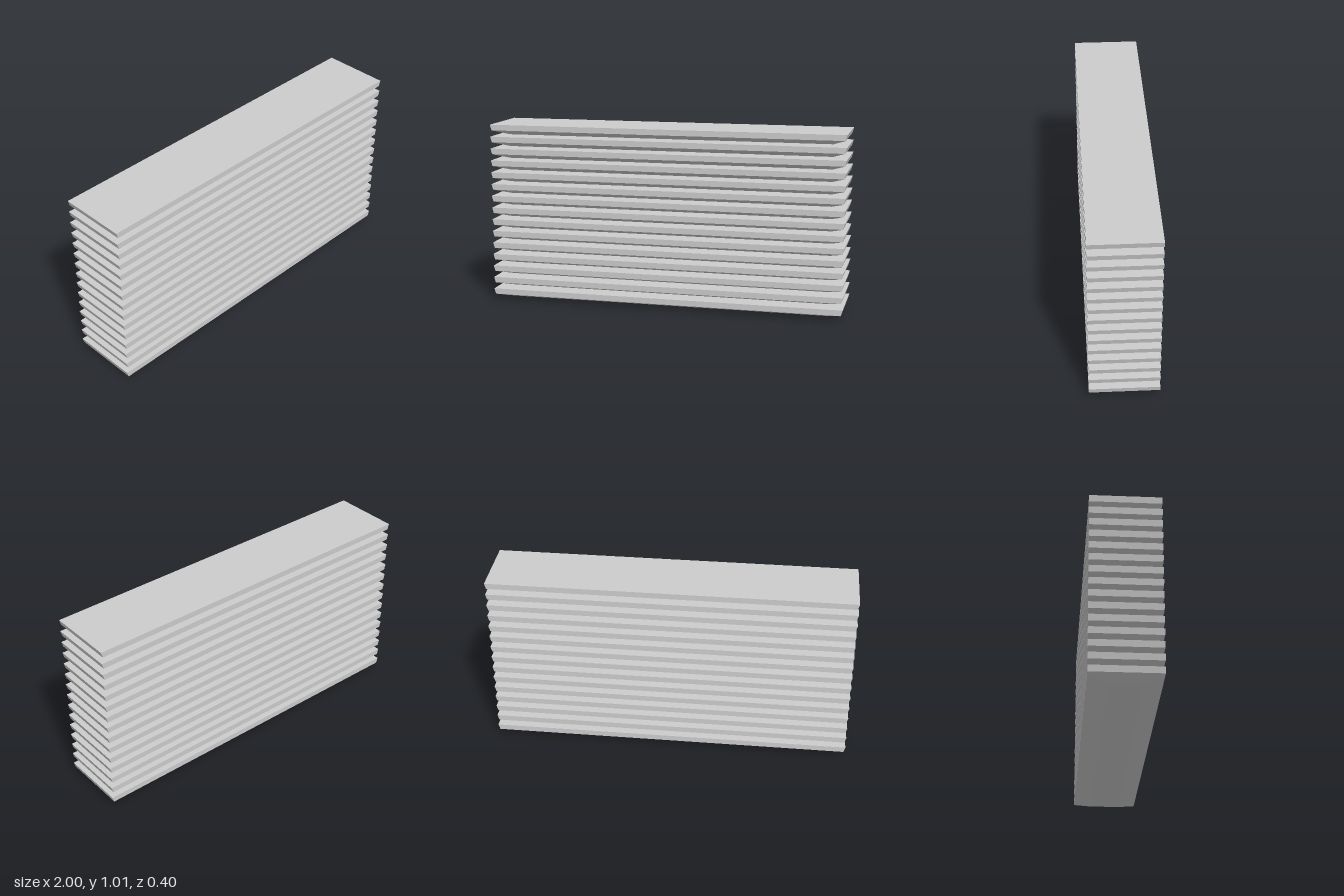
import * as THREE from 'three';

const SLATS = 15, PITCH = 0.0675, THICK = 0.063;

// Half length and half depth at the bottom, middle and top of a slat
const RINGS = [
  [0.915, 0.087],
  [0.988, 0.186],
  [0.997, 0.186],
];

// A flat slab whose lower half is bevelled inwards on all four sides
function slatGeometry() {
  const box = new THREE.BoxGeometry(2, 2, 2, 1, 2, 1);
  const p = box.attributes.position;
  for (let i = 0; i < p.count; i++) {
    const level = Math.round(p.getY(i)) + 1;
    const [hx, hz] = RINGS[level];
    p.setXYZ(i, Math.sign(p.getX(i)) * hx, level * THICK / 2, Math.sign(p.getZ(i)) * hz);
  }
  const geometry = box.toNonIndexed();
  geometry.computeVertexNormals();
  return geometry;
}

export function createModel() {
  const model = new THREE.Group();
  model.name = 'slatStack';
  const material = new THREE.MeshStandardMaterial({ color: 0xcccccc, flatShading: true });
  const geometry = slatGeometry();

  // Evenly spaced stack, turned very slightly about the vertical
  for (let i = 0; i < SLATS; i++) {
    const slat = new THREE.Mesh(geometry, material);
    slat.name = `slat${i + 1}`;
    slat.position.y = i * PITCH;
    slat.rotation.y = -0.0147;
    model.add(slat);
  }
  return model;
}
